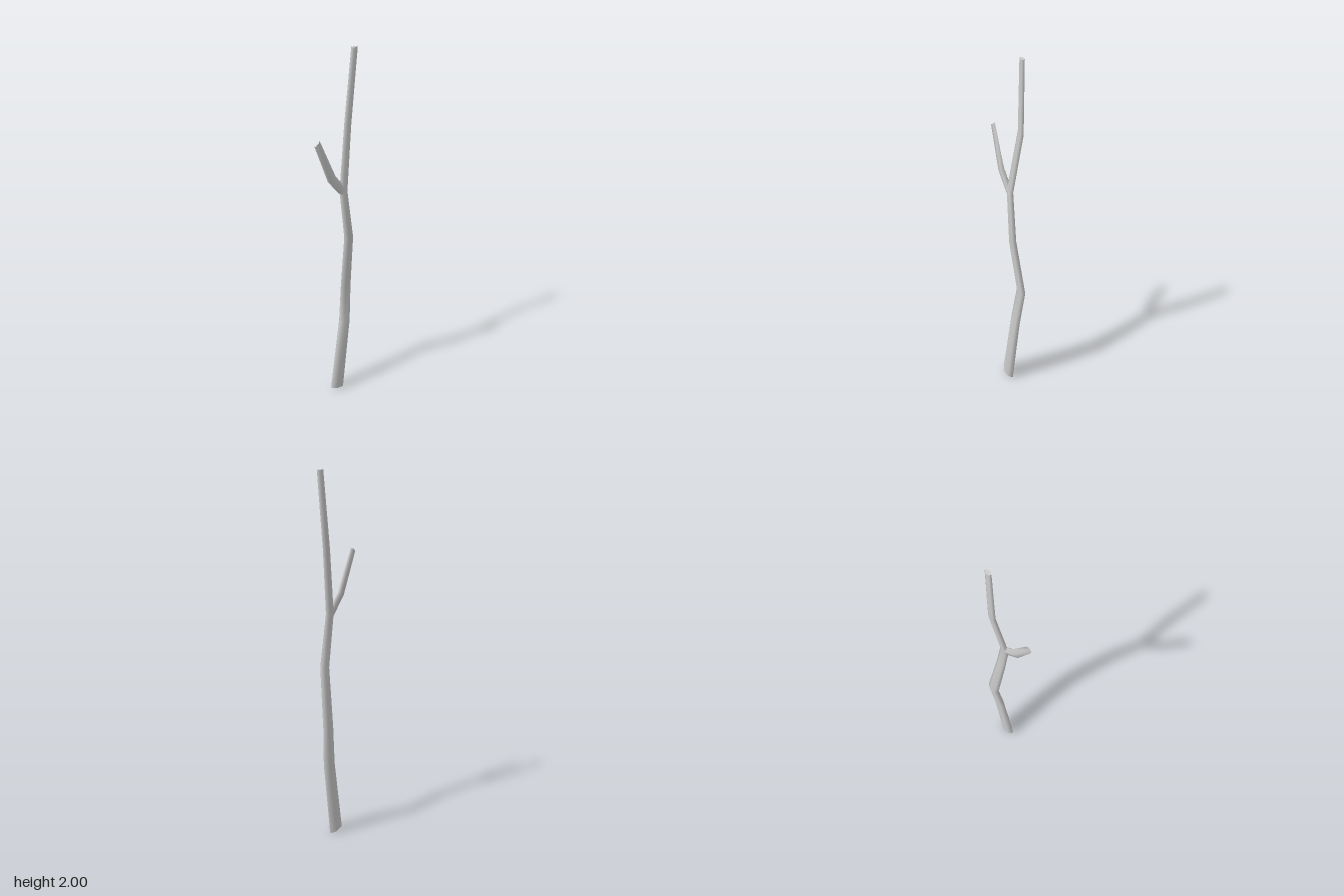
import * as THREE from 'three';

// Ring: [x, y, z, half width in x, half depth in z, tilt (dy per dz)]
const TRUNK = [
  [-0.01, 0.012, -0.005, 0.024, 0.045, 0.27],
  [0, 0.45, -0.066, 0.021, 0.038, 0.12],
  [-0.01, 0.67, -0.095, 0.018, 0.036, 0.02],
  [0.025, 1.0, -0.064, 0.017, 0.029, -0.1],
  [0.011, 1.28, -0.032, 0.014, 0.026, 0],
  [0, 1.62, -0.088, 0.012, 0.023, 0.12],
  [0.021, 1.998, -0.109, 0.011, 0.019, 0.06],
];
const BRANCH = [
  [0.012, 1.27, -0.035, 0.015, 0.024, -0.2],
  [-0.01, 1.37, 0.042, 0.014, 0.022, -0.6],
  [-0.041, 1.583, 0.125, 0.007, 0.016, -0.75],
];

// Skin a run of tilted oval rings and close both ends
function limb(name, rings, sides, phase) {
  const pos = [], index = [];
  const addRing = ([x, y, z, rx, rz, tilt]) => {
    for (let i = 0; i < sides; i++) {
      const t = phase + (i / sides) * Math.PI * 2;
      const dz = -rz * Math.sin(t);
      pos.push(x + rx * Math.cos(t) - 0.25 * dz, y + tilt * dz, z + dz);
    }
  };
  rings.forEach(addRing);
  for (let r = 0; r < rings.length - 1; r++) {
    for (let i = 0; i < sides; i++) {
      const a = r * sides + i, b = r * sides + (i + 1) % sides;
      index.push(a, b, b + sides, a, b + sides, a + sides);
    }
  }
  // End caps have their own vertices so their edges stay sharp
  const low = rings.length * sides, high = low + sides;
  addRing(rings[0]);
  addRing(rings[rings.length - 1]);
  for (let i = 1; i < sides - 1; i++) {
    index.push(low, low + i + 1, low + i, high, high + i, high + i + 1);
  }
  const geo = new THREE.BufferGeometry();
  geo.setAttribute('position', new THREE.Float32BufferAttribute(pos, 3));
  geo.setIndex(index);
  geo.computeVertexNormals();
  const mesh = new THREE.Mesh(geo, new THREE.MeshStandardMaterial({ color: 0xcccccc }));
  mesh.name = name;
  return mesh;
}

export function createModel() {
  const group = new THREE.Group();
  group.name = 'forkedStick';
  group.add(limb('trunk', TRUNK, 6, Math.PI / 6));
  group.add(limb('sideBranch', BRANCH, 5, Math.PI / 10));
  return group;
}
